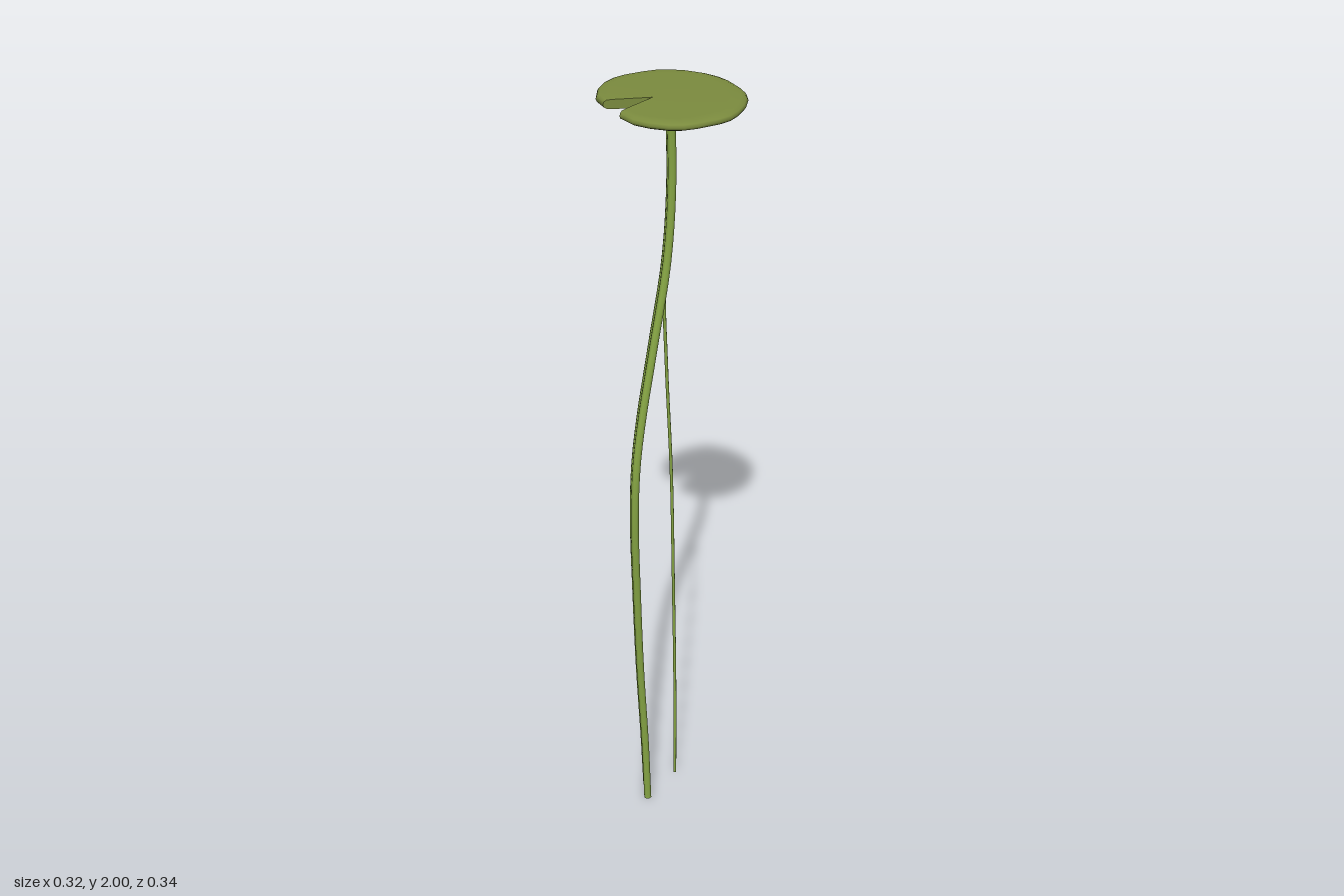
import * as THREE from 'three';

const padGreen = new THREE.MeshStandardMaterial({ color: 0x7b8b3e });
padGreen.name = 'pad green';
const stemGreen = new THREE.MeshStandardMaterial({ color: 0x86a544 });
stemGreen.name = 'stem green';

// Rim of the pad as x, z pairs, running from one side of the notch to the other
const RIM = [
  [-0.163, -0.028], [-0.163, -0.067], [-0.14, -0.11], [-0.11, -0.142], [-0.08, -0.16],
  [-0.05, -0.168], [0, -0.171], [0.035, -0.169], [0.07, -0.156], [0.1, -0.137],
  [0.132, -0.103], [0.15, -0.07], [0.158, -0.04], [0.161, 0.01], [0.158, 0.043],
  [0.145, 0.075], [0.12, 0.11], [0.09, 0.138], [0.06, 0.157], [0.03, 0.165],
  [-0.03, 0.169], [-0.06, 0.166], [-0.09, 0.153], [-0.123, 0.125], [-0.147, 0.092],
  [-0.153, 0.065], [-0.157, 0.047],
];
const NOTCH_X = -0.055;

// Rings from the top centre over the rounded rim to the bottom centre: scale, height
const RINGS = [
  [0, 1.992], [0.8, 1.992], [0.93, 1.991], [0.98, 1.987], [1, 1.981],
  [0.98, 1.975], [0.92, 1.971], [0.8, 1.97], [0, 1.97],
];

function padPoint([scale, y], [x, z]) {
  const pz = z * scale;
  return [NOTCH_X + (x - NOTCH_X) * scale, y - 0.045 * pz, pz];
}

function createPad() {
  const positions = [];
  const index = [];
  const n = RIM.length;
  const last = RINGS.length - 2;
  for (const ring of RINGS) for (const p of RIM) positions.push(...padPoint(ring, p));
  for (let j = 0; j <= last; j++) {
    for (let i = 0; i < n - 1; i++) {
      const a = j * n + i, b = a + 1, c = a + n, d = c + 1;
      if (j < last) index.push(a, d, c);
      if (j > 0) index.push(a, b, d);
    }
  }
  // Flat walls of the notch, with their own vertices for a sharp edge
  [RIM[0], RIM[n - 1]].forEach((p, side) => {
    const start = positions.length / 3;
    for (const ring of RINGS) positions.push(...padPoint(ring, p));
    for (let j = 1; j <= last; j++) {
      if (side === 0) index.push(start, start + j, start + j + 1);
      else index.push(start, start + j + 1, start + j);
    }
  });
  const geometry = new THREE.BufferGeometry();
  geometry.setAttribute('position', new THREE.Float32BufferAttribute(positions, 3));
  geometry.setIndex(index);
  geometry.computeVertexNormals();
  const pad = new THREE.Mesh(geometry, padGreen);
  pad.name = 'lilyPad';
  return pad;
}

// Small web of leaf low down in the point of the notch
function createNotchWeb() {
  const shape = new THREE.Shape([
    new THREE.Vector2(NOTCH_X, 0), new THREE.Vector2(-0.097, 0.005), new THREE.Vector2(-0.097, 0.02),
  ]);
  const geometry = new THREE.ExtrudeGeometry(shape, { depth: 0.005, bevelEnabled: false });
  const web = new THREE.Mesh(geometry, stemGreen);
  web.name = 'notchWeb';
  web.rotation.x = Math.PI / 2;
  web.position.y = 1.976;
  return web;
}

// A tube along a smooth path, closed at its lower end
function createStrand(name, points, radius, sides) {
  const group = new THREE.Group();
  group.name = name;
  const curve = new THREE.CatmullRomCurve3(points.map((p) => new THREE.Vector3(...p)));
  const tube = new THREE.Mesh(new THREE.TubeGeometry(curve, 48, radius, sides), stemGreen);
  tube.name = name + 'Tube';
  const end = new THREE.Mesh(new THREE.CircleGeometry(radius, sides), stemGreen);
  end.name = name + 'End';
  end.position.set(...points[0]);
  end.rotation.x = Math.PI / 2;
  group.add(tube, end);
  return group;
}

// Centre line of the paired stem
const STEM = [
  [-0.111, 0, 0.049], [-0.115, 0.2, 0.045], [-0.127, 0.45, 0.047], [-0.138, 0.7, 0.057],
  [-0.146, 0.95, 0.067], [-0.138, 1.1, 0.064], [-0.117, 1.22, 0.053], [-0.074, 1.4, 0.032],
  [-0.028, 1.6, 0.011], [-0.011, 1.78, 0.003], [-0.013, 1.975, 0.003],
];

export function createModel() {
  const model = new THREE.Group();
  model.name = 'waterLily';
  model.add(createPad(), createNotchWeb());

  // Two strands side by side, the back one cut a little shorter
  for (const [name, side, base] of [['frontStem', 1, 0], ['backStem', -1, 0.04]]) {
    const points = STEM.map(([x, y, z]) => [x - side * 0.003, Math.max(y, base), z + side * 0.0095]);
    model.add(createStrand(name, points, 0.0105, 8));
  }

  // Thin root hanging beside the stem
  model.add(createStrand('thinRoot', [
    [0, 0, 0], [0.004, 0.3, -0.008], [0.004, 0.65, -0.017], [0, 1, -0.021],
    [-0.013, 1.3, -0.02], [-0.021, 1.55, -0.016], [-0.012, 1.8, -0.006], [-0.012, 1.975, 0],
  ], 0.0045, 6));
  return model;
}
